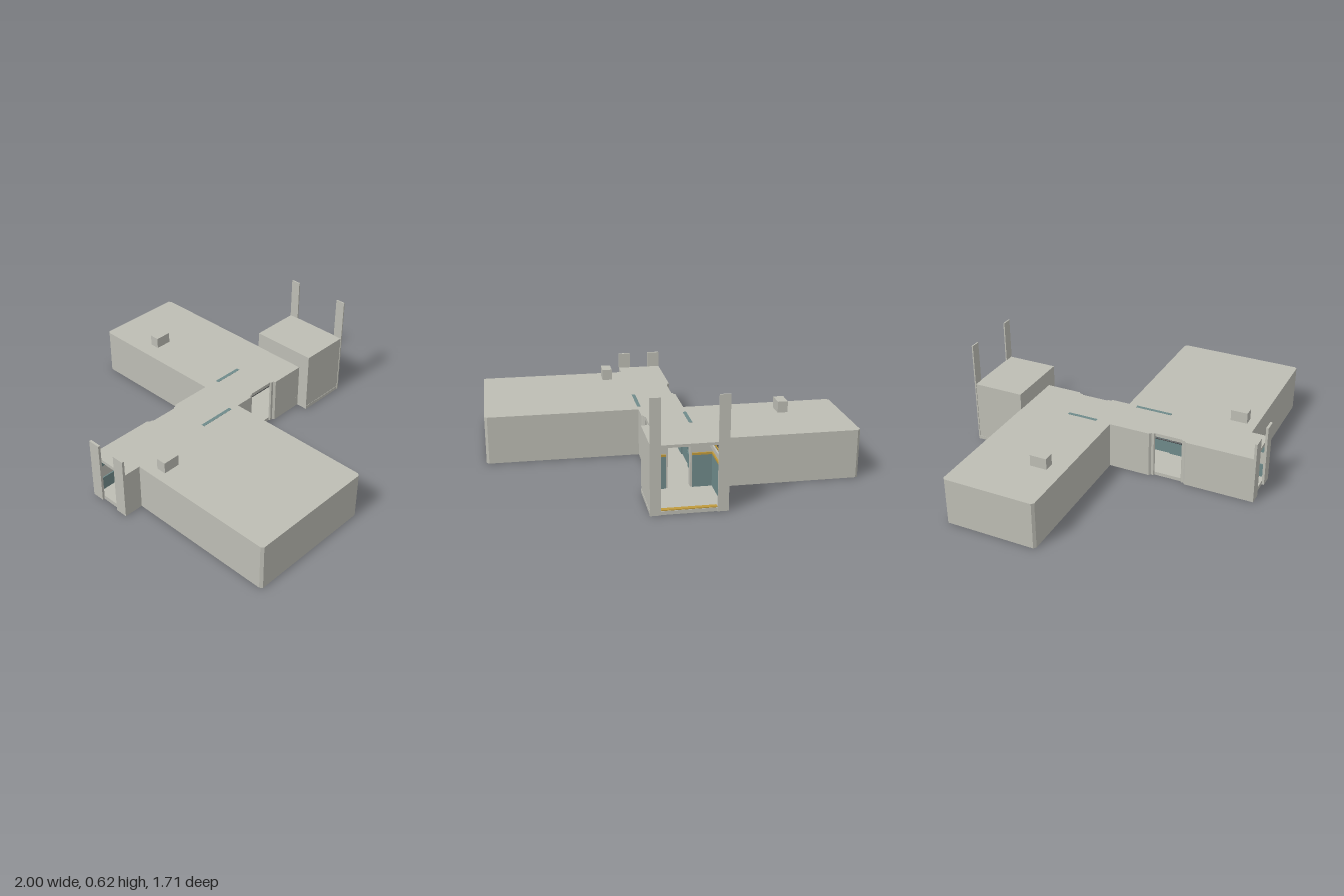
import * as THREE from 'three';

const material = (name, color) => {
  const m = new THREE.MeshStandardMaterial({ color });
  m.name = name;
  return m;
};

export function createModel() {
  const model = new THREE.Group();
  model.name = 'station';
  const hull = material('hull grey', 0xbdbdb4);
  const teal = material('panel teal', 0x6f8a8a);
  const dark = material('dark metal', 0x4a4d4f);
  const ochre = material('warning ochre', 0xc09a3c);

  const add = (name, geometry, mat, parent = model) => {
    const mesh = new THREE.Mesh(geometry, mat);
    mesh.name = name;
    parent.add(mesh);
    return mesh;
  };
  // Box given by its limits on each axis
  const box = (name, mat, x0, x1, y0, y1, z0, z1) => {
    const g = new THREE.BoxGeometry(x1 - x0, y1 - y0, z1 - z0);
    g.translate((x0 + x1) / 2, (y0 + y1) / 2, (z0 + z1) / 2);
    return add(name, g, mat);
  };

  const H = 0.275, FLOOR = 0.02, CEIL = 0.255, T = 0.02;

  // Plan of both wings and the corridor; the third entry marks the kind of wall that follows
  const notch = (side, zMid) => [
    [side * 0.13, zMid + side * 0.11], [side * 0.118, zMid + side * 0.1],
    [side * 0.118, zMid + side * 0.085], [side * 0.11, zMid + side * 0.08, 'window'],
    [side * 0.11, zMid - side * 0.08], [side * 0.118, zMid - side * 0.085],
    [side * 0.118, zMid - side * 0.1], [side * 0.13, zMid - side * 0.11],
  ];
  const plan = [
    [0.13, 0.842], [0.13, 0.742], [0.985, 0.742], [1, 0.73], [1, 0], [0.985, -0.012], [0.13, -0.012],
    ...notch(1, -0.228),
    [0.13, -0.552], [0.06, -0.552, 'door'], [-0.06, -0.552],
    [-0.985, -0.552], [-1, -0.54], [-1, -0.024], [-0.985, -0.012], [-0.13, -0.012],
    ...notch(-1, 0.34),
    [-0.13, 0.842, 'open'],
  ];

  // Floor and roof slabs share the plan
  const outline = new THREE.Shape(plan.map(([x, z]) => new THREE.Vector2(x, -z)));
  for (const [name, y0, y1] of [['mainFloor', 0, FLOOR], ['mainRoof', CEIL, H]]) {
    const g = new THREE.ExtrudeGeometry(outline, { depth: y1 - y0, bevelEnabled: false });
    g.rotateX(-Math.PI / 2).translate(0, y0, 0);
    add(name, g, hull);
  }

  // Outer walls follow the plan, thickness inward
  plan.forEach(([x0, z0, kind], i) => {
    if (kind === 'open') return;
    const [x1, z1] = plan[(i + 1) % plan.length];
    const dx = x1 - x0, dz = z1 - z0, len = Math.hypot(dx, dz);
    const bands = kind ? [[0, FLOOR], [CEIL, H]] : [[0, H]];
    const t = Math.min(T, len);
    for (const [y0, y1] of bands) {
      const wall = add(kind ? kind + 'Rail' : 'outerWall', new THREE.BoxGeometry(len, y1 - y0, t), hull);
      wall.position.set((x0 + x1) / 2 + dz / len * t / 2, (y0 + y1) / 2, (z0 + z1) / 2 - dx / len * t / 2);
      wall.rotation.y = -Math.atan2(dz, dx);
    }
  });

  // Inner walls between corridor and wings, each with a glazed opening
  const innerWall = (side, z0, z1, g0, g1) => {
    const a = side > 0 ? 0.11 : -0.13, b = a + T;
    box('innerWall', hull, a, b, FLOOR, CEIL, z0, g0);
    box('innerWall', hull, a, b, FLOOR, CEIL, g1, z1);
    // Broken glass: stepped edges above and below the gap
    const n = 8, step = (g1 - g0) / n;
    for (const [edge, base, levels] of [
      ['lowerGlass', -0.001, [0.098, 0.098, 0.118, 0.104, 0.125, 0.1, 0.1, 0.098]],
      ['upperGlass', H + 0.001, [0.18, 0.172, 0.178, 0.168, 0.18, 0.174, 0.18, 0.18]],
    ]) {
      const s = new THREE.Shape();
      s.moveTo(g0, base);
      levels.forEach((y, i) => s.lineTo(g0 + i * step, y).lineTo(g0 + (i + 1) * step, y));
      s.lineTo(g1, base);
      const g = new THREE.ExtrudeGeometry(s, { depth: 0.02, bevelEnabled: false });
      g.rotateY(-Math.PI / 2).translate(side * 0.12 + 0.01, 0, 0);
      add(edge, g, teal);
    }
  };
  innerWall(-1, -0.55, -0.012, -0.28, -0.1);
  innerWall(1, -0.012, 0.742, 0.04, 0.26);

  // Corridor lining: lower panels, high pipes and a ceiling lamp strip
  for (const [side, runs] of [
    [-1, [[-0.53, -0.28], [-0.1, 0.22], [0.46, 0.83]]],
    [1, [[-0.53, -0.35], [-0.1, 0.04], [0.26, 0.83]]],
  ]) {
    for (const [z0, z1] of runs) {
      const x = side * 0.107;
      box('corridorPanel', teal, x - 0.004, x + 0.004, FLOOR, 0.1, z0, z1);
      box('corridorPanel', teal, x - 0.004, x + 0.004, 0.18, 0.23, z0, z1);
    }
    const pipe = add('corridorPipe', new THREE.CylinderGeometry(0.005, 0.005, 1.36, 8), dark);
    pipe.rotation.x = Math.PI / 2;
    pipe.position.set(side * 0.09, 0.234, 0.15);
  }
  box('ceilingLamp', dark, -0.022, 0.022, 0.248, CEIL, -0.5, 0.8);

  // Tall back hall, open at the rear
  const BZ = -0.853, BH = 0.372;
  box('hallFloor', hull, -0.2, 0.2, 0, FLOOR, BZ, -0.55);
  box('hallRoof', hull, -0.2, 0.195, BH - 0.015, BH, BZ, -0.55);
  box('hallLintel', hull, -0.2, 0.195, CEIL, BH, -0.57, -0.55);
  for (const side of [-1, 1]) {
    const span = (a, b) => [Math.min(side * a, side * b), Math.max(side * a, side * b)];
    box('hallSideWall', hull, ...span(0.182, 0.198), 0, BH, BZ, -0.55);
    box('hallFrontWall', hull, ...span(0.06, 0.198), 0, BH, -0.57, -0.55);
    box('hallSidePanel', teal, ...span(0.176, 0.182), FLOOR, 0.2, -0.84, -0.57);
    box('hallFrontPanel', teal, ...span(0.07, 0.176), FLOOR, 0.2, -0.576, -0.57);
    box('hallSideStripe', ochre, ...span(0.174, 0.182), 0.2, 0.212, -0.84, -0.57);
    box('hallFrontStripe', ochre, ...span(0.07, 0.176), 0.2, 0.212, -0.578, -0.57);
    box('hallBeam', hull, ...span(0.155, 0.182), 0.26, 0.285, -0.84, -0.57);
    box('hallDuct', dark, ...span(0.15, 0.182), 0.31, 0.335, -0.84, -0.57);
    box('hallDuctTrim', ochre, ...span(0.146, 0.15), 0.318, 0.328, -0.84, -0.57);
    // Masts framing the two end openings
    box('backMast', hull, ...span(0.145, 0.202), 0, 0.62, -0.858, -0.85);
    box('frontMast', hull, ...span(0.058, 0.13), 0, 0.368, 0.842, 0.856);
  }
  box('hallThreshold', ochre, -0.145, 0.145, FLOOR, 0.025, -0.85, -0.825);
  box('frontThreshold', hull, -0.06, 0.06, 0, 0.025, 0.8, 0.843);

  // Rooftop vents
  box('roofVent', hull, -0.695, -0.637, H, 0.34, -0.203, -0.105);
  box('roofVent', hull, 0.208, 0.266, H, 0.34, 0.588, 0.686);

  return model;
}
